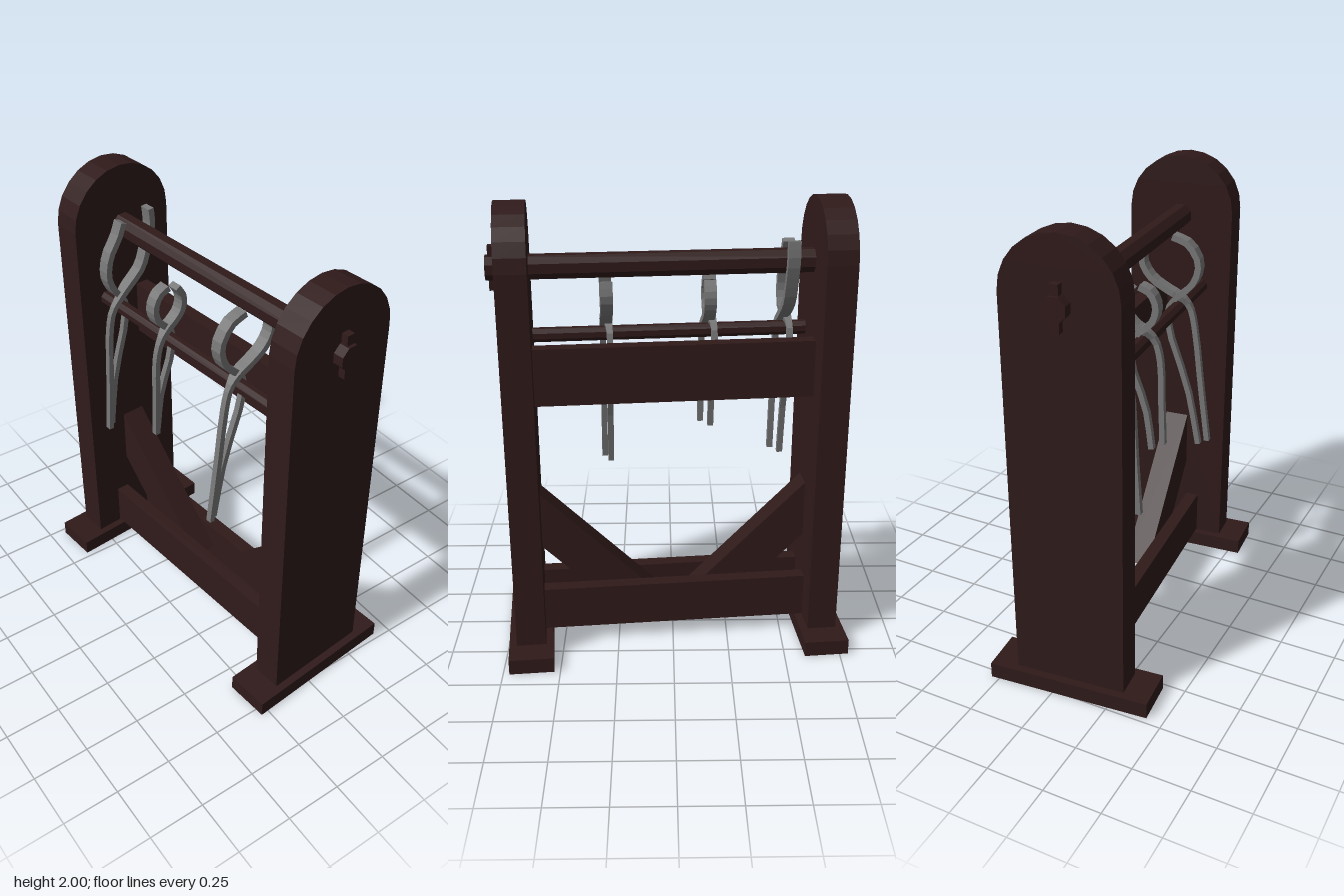
import * as THREE from 'three';

const wood = new THREE.MeshStandardMaterial({ color: 0x301a1a, flatShading: true });
const iron = new THREE.MeshStandardMaterial({ color: 0x777777, flatShading: true });

function add(parent, name, geometry, material, x = 0, y = 0, z = 0) {
  const mesh = new THREE.Mesh(geometry, material);
  mesh.name = name;
  mesh.position.set(x, y, z);
  parent.add(mesh);
  return mesh;
}

function box(parent, name, w, h, d, x, y, z) {
  return add(parent, name, new THREE.BoxGeometry(w, h, d), wood, x, y, z);
}

function rod(parent, name, radius, length, y, z) {
  const geometry = new THREE.CylinderGeometry(radius, radius, length, 8);
  geometry.rotateY(Math.PI / 8).rotateZ(Math.PI / 2);
  return add(parent, name, geometry, wood, 0, y, z);
}

// Upright with a rounded top, drawn in profile and extruded across x
function postGeometry(thickness, radius, bottom, shoulder) {
  const shape = new THREE.Shape();
  shape.moveTo(-radius, bottom);
  shape.lineTo(radius, bottom);
  for (let i = 0; i <= 12; i++) {
    const a = (i / 12) * Math.PI;
    shape.lineTo(radius * Math.cos(a), shoulder + radius * Math.sin(a));
  }
  const geometry = new THREE.ExtrudeGeometry(shape, { depth: thickness, bevelEnabled: false });
  return geometry.translate(0, 0, -thickness / 2).rotateY(Math.PI / 2);
}

// Rectangular bar swept along a [z, y] path; the jaw end is broad, the rein end narrow
function barGeometry(points, xTop, xEnd) {
  const curve = new THREE.CatmullRomCurve3(
    points.map(([z, y]) => new THREE.Vector3(0, y, z)), false, 'centripetal');
  const steps = 20, positions = [], index = [];
  for (let i = 0; i <= steps; i++) {
    const t = i / steps;
    const p = curve.getPoint(t), tan = curve.getTangent(t);
    const k = THREE.MathUtils.smoothstep(t, 0.45, 0.65);
    const hw = THREE.MathUtils.lerp(0.026, 0.013, k);
    const ht = THREE.MathUtils.lerp(0.014, 0.012, k);
    const x = THREE.MathUtils.lerp(xTop, xEnd, k);
    for (const [sx, sn] of [[-1, -1], [1, -1], [1, 1], [-1, 1]]) {
      positions.push(x + sx * hw, p.y - sn * tan.z * ht, p.z + sn * tan.y * ht);
    }
  }
  for (let i = 0; i < steps; i++) {
    for (let j = 0; j < 4; j++) {
      const a = i * 4 + j, b = i * 4 + (j + 1) % 4;
      index.push(a, b, a + 4, b, b + 4, a + 4);
    }
  }
  const e = steps * 4;
  index.push(0, 2, 1, 0, 3, 2, e, e + 1, e + 2, e, e + 2, e + 3);
  // Put the faces outward whichever way the path runs
  const geometry = new THREE.BufferGeometry();
  geometry.setAttribute('position', new THREE.Float32BufferAttribute(positions, 3));
  geometry.setIndex(index);
  geometry.computeVertexNormals();
  return geometry;
}

// Crossing tongs: the jaws reach for the upper rod, the reins straddle the lower one
function addTongs(parent, { name, x, front, back, endY, endZ, spread }) {
  const tongs = new THREE.Group();
  tongs.name = name;
  tongs.position.x = x;
  parent.add(tongs);
  const metal = iron.clone();
  metal.side = THREE.DoubleSide;
  const backRein = [[0.105, 1.455], [0.065, 1.4], [0.07, 1.3], [(endZ + 0.07) / 2, (endY + 1.3) / 2], [endZ - 0.035, endY]];
  const frontRein = [[0.11, 1.455], [0.155, 1.41], [0.18, 1.32], [(endZ + 0.18) / 2, (endY + 1.32) / 2], [endZ, endY + 0.01]];
  add(tongs, 'frontJawArm', barGeometry([...front, ...backRein], -0.003, -spread), metal);
  add(tongs, 'backJawArm', barGeometry([...back, ...frontRein], 0.003, spread), metal);
}

export function createModel() {
  const root = new THREE.Group();
  root.name = 'tongsRack';
  const rack = new THREE.Group();
  rack.name = 'rack';
  rack.rotation.y = 0.092;
  root.add(rack);

  // Two ends: foot, upright, diagonal brace and locking pin
  for (const side of [-1, 1]) {
    const end = side < 0 ? 'right' : 'left';
    box(rack, end + 'Foot', 0.197, 0.07, 0.715, side * 0.66, 0.035, 0);
    add(rack, end + 'Post', postGeometry(0.13, 0.243, 0.07, 1.757), wood, side * 0.66, 0, 0);
    box(rack, end + 'LockingPin', 0.03, 0.185, 0.035, side * 0.742, 1.73, 0);

    const outline = [[0.6, 0.725], [0.6, 0.465], [0.305, 0.17], [0.045, 0.17]];
    const brace = new THREE.Shape(outline.map(([x, y]) => new THREE.Vector2(side * x, y)));
    const geometry = new THREE.ExtrudeGeometry(brace, { depth: 0.11, bevelEnabled: false });
    add(rack, end + 'Brace', geometry, wood, 0, 0, -0.055);
  }

  // Cross members
  for (const side of [-1, 1]) {
    box(rack, side > 0 ? 'frontLowerRail' : 'backLowerRail', 1.2, 0.2, 0.06, 0, 0.175, side * 0.09);
  }
  box(rack, 'backBoard', 1.2, 0.25, 0.06, 0, 1.285, -0.09);
  rod(rack, 'upperRod', 0.053, 1.54, 1.73, 0);
  rod(rack, 'lowerRod', 0.032, 1.2, 1.405, 0.107);

  // Hanging tongs
  addTongs(rack, {
    name: 'tallTongs', x: -0.5, endY: 0.78, endZ: 0.215, spread: 0.02,
    front: [[0.075, 1.8], [0.1, 1.74], [0.15, 1.66], [0.165, 1.57], [0.14, 1.5]],
    back: [[-0.065, 1.825], [-0.07, 1.75], [-0.045, 1.65], [-0.01, 1.56], [0.055, 1.5]],
  });
  addTongs(rack, {
    name: 'smallTongs', x: -0.168, endY: 0.935, endZ: 0.195, spread: 0.021,
    front: [[0.1, 1.645], [0.145, 1.625], [0.172, 1.57], [0.16, 1.51], [0.13, 1.475]],
    back: [[0.06, 1.635], [0.03, 1.58], [0.038, 1.52], [0.08, 1.475]],
  });
  addTongs(rack, {
    name: 'wideTongs', x: 0.278, endY: 0.755, endZ: 0.255, spread: 0.013,
    front: [[0.08, 1.725], [0.15, 1.7], [0.2, 1.62], [0.185, 1.54], [0.14, 1.485]],
    back: [[-0.05, 1.67], [-0.062, 1.6], [-0.02, 1.53], [0.05, 1.485]],
  });

  return root;
}
